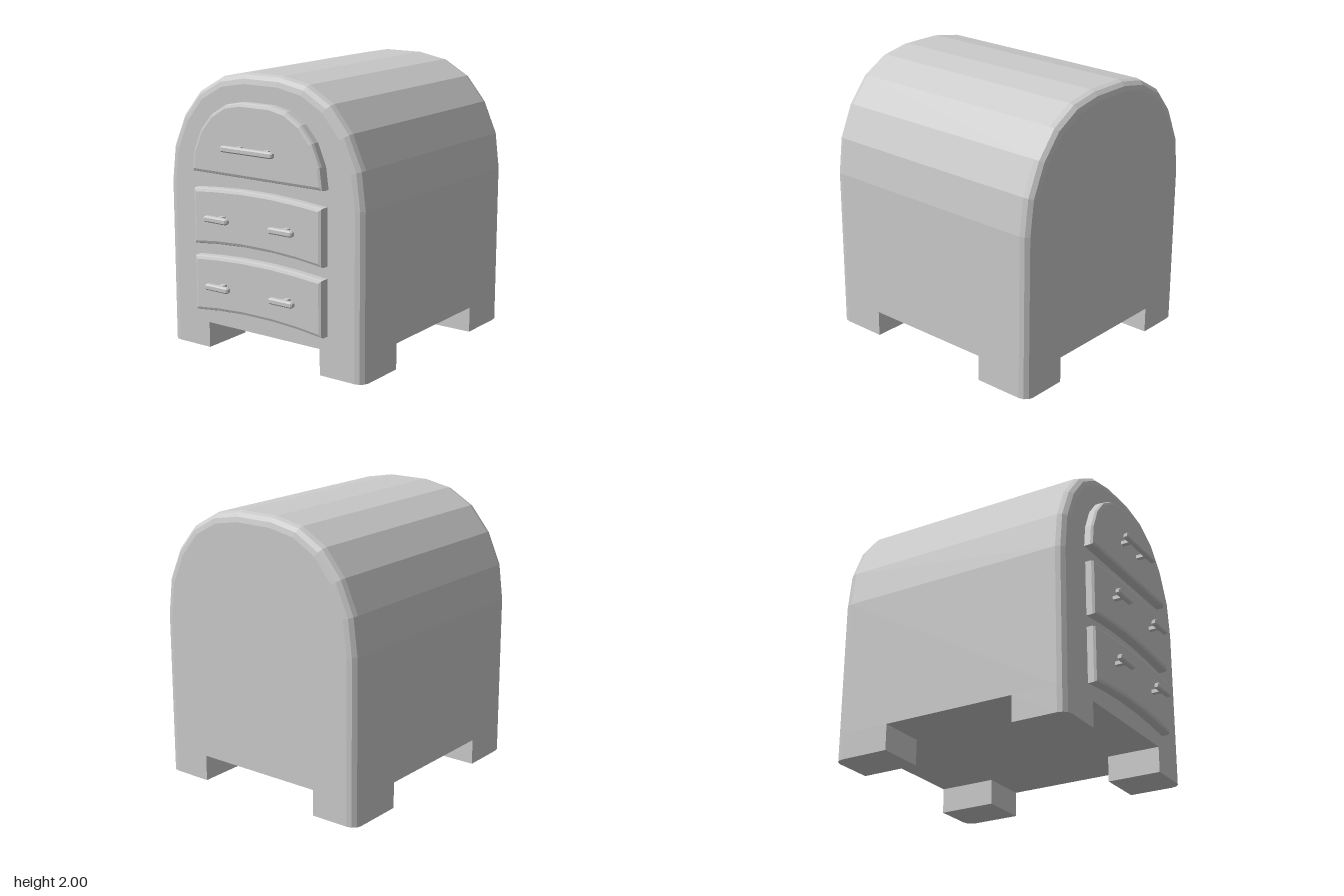
import * as THREE from 'three';

const material = new THREE.MeshStandardMaterial({ color: 0xcccccc, flatShading: true, side: THREE.DoubleSide });
const FRONT = 0.825, BACK = -0.993, RADIUS = 0.07, BASE = 0.187, HALF = 0.845;

function part(name, geometry, parent) {
  const mesh = new THREE.Mesh(geometry, material);
  mesh.name = name;
  parent.add(mesh);
  return mesh;
}

// Mirror the right half of an outline across x = 0
const mirrored = (half) => [...half, ...half.slice().reverse().map(([x, y]) => [-x, y])];
const toShape = (points) => new THREE.Shape(points.map(([x, y]) => new THREE.Vector2(x, y)));

// Inset and depth steps of the rounded edge
const edge = [0, 30, 60, 90].map((deg) => {
  const a = THREE.MathUtils.degToRad(deg);
  return [RADIUS * (1 - Math.sin(a)), RADIUS * (1 - Math.cos(a))];
});

// Move each arch point inwards along its mitre; the bottom stays level
function insetArch(points, d) {
  const normal = (a, b) => {
    const l = Math.hypot(b[0] - a[0], b[1] - a[1]);
    return [(b[1] - a[1]) / l, (a[0] - b[0]) / l];
  };
  return points.map((p, i) => {
    const last = points.length - 1;
    const n1 = normal(points[Math.max(i - 1, 0)], points[Math.max(i, 1)]);
    const n2 = normal(points[Math.min(i, last - 1)], points[Math.min(i + 1, last)]);
    const k = d / (1 + n1[0] * n2[0] + n1[1] * n2[1]);
    return [p[0] - (n1[0] + n2[0]) * k, p[1] - (n1[1] + n2[1]) * k];
  });
}

// Arched body lofted from back to front
function bodyGeometry() {
  const arch = mirrored([[HALF, BASE], [HALF, 1.18], [0.812, 1.44], [0.71, 1.67],
    [0.56, 1.85], [0.365, 1.96], [0.15, 2]]);
  const rings = [
    ...edge.map(([inset, dz]) => [inset, BACK + dz]),
    ...edge.slice().reverse().map(([inset, dz]) => [inset, FRONT - dz]),
  ];
  const n = arch.length, pos = [], index = [];
  rings.forEach(([inset, z]) => insetArch(arch, inset).forEach(([x, y]) => pos.push(x, y, z)));
  for (let r = 0; r < rings.length - 1; r++) {
    for (let i = 0; i < n; i++) {
      const a = r * n + i, b = r * n + (i + 1) % n;
      index.push(a, b, b + n, a, b + n, a + n);
    }
  }
  const top = (rings.length - 1) * n;
  for (let i = 1; i < n - 1; i++) {
    index.push(0, i + 1, i, top, top + i, top + i + 1);
  }
  const g = new THREE.BufferGeometry();
  g.setAttribute('position', new THREE.Float32BufferAttribute(pos, 3));
  g.setIndex(index);
  g.computeVertexNormals();
  return g;
}

// Foot with one rounded outer corner, extruded upwards
function footGeometry(side, zOuter, zInner) {
  const dir = Math.sign(zOuter);
  const outline = [[0.49, zInner], [HALF, zInner],
    ...edge.slice().reverse().map(([inset, dz]) => [HALF - inset, zOuter - dir * dz]),
    [0.49, zOuter]].map(([x, z]) => [side * x, -z]);
  return new THREE.ExtrudeGeometry(toShape(outline), { depth: BASE, bevelEnabled: false })
    .rotateX(-Math.PI / 2);
}

// Drawer front with a softened front edge
function drawerGeometry(half) {
  const b = 0.025;
  return new THREE.ExtrudeGeometry(toShape(mirrored(half)), {
    depth: 0.045, bevelThickness: b, bevelSize: b, bevelOffset: -b, bevelSegments: 2,
  }).translate(0, 0, FRONT);
}

// Bar handle standing on posts
function addHandle(parent, x, y, length, posts) {
  const handle = new THREE.Group();
  handle.name = 'handle';
  handle.position.set(x, y, 0);
  parent.add(handle);
  const s = 0.021, c = 0.012;
  const section = toShape([[-s, -c], [-c, -s], [c, -s], [s, -c], [s, c], [c, s], [-c, s], [-s, c]]);
  const bevel = 0.012;
  const bar = new THREE.ExtrudeGeometry(section, {
    depth: length - 2 * bevel, bevelThickness: bevel, bevelSize: 0.008, bevelOffset: -0.008, bevelSegments: 1,
  }).translate(0, 0, bevel - length / 2).rotateY(Math.PI / 2);
  part('handleBar', bar, handle).position.z = 0.973;
  for (const px of posts) {
    part('handlePost', new THREE.BoxGeometry(0.036, 0.026, 0.08), handle).position.set(px, 0, 0.925);
  }
}

export function createModel() {
  const model = new THREE.Group();
  model.name = 'archedDrawerCabinet';
  part('body', bodyGeometry(), model);

  // Four feet
  for (const side of [-1, 1]) {
    part('frontFoot', footGeometry(side, FRONT, 0.425), model);
    part('backFoot', footGeometry(side, BACK, -0.56), model);
  }

  // Arched top drawer
  part('topDrawer', drawerGeometry([[0.565, 1.295], [0.545, 1.45], [0.48, 1.6],
    [0.385, 1.71], [0.26, 1.785], [0.13, 1.812]]), model);
  addHandle(model, 0, 1.504, 0.445, [-0.12, 0.12]);

  // Two bowed drawers, each with a pair of handles
  for (const [name, y] of [['middleDrawer', 0.775], ['bottomDrawer', 0.288]]) {
    part(name, drawerGeometry([[0.13, y + 0.035], [0.35, y + 0.022], [0.555, y],
      [0.555, y + 0.402], [0.35, y + 0.42], [0.13, y + 0.432]]), model);
    for (const side of [-1, 1]) addHandle(model, side * 0.28, y + 0.223, 0.205, [0]);
  }
  return model;
}
